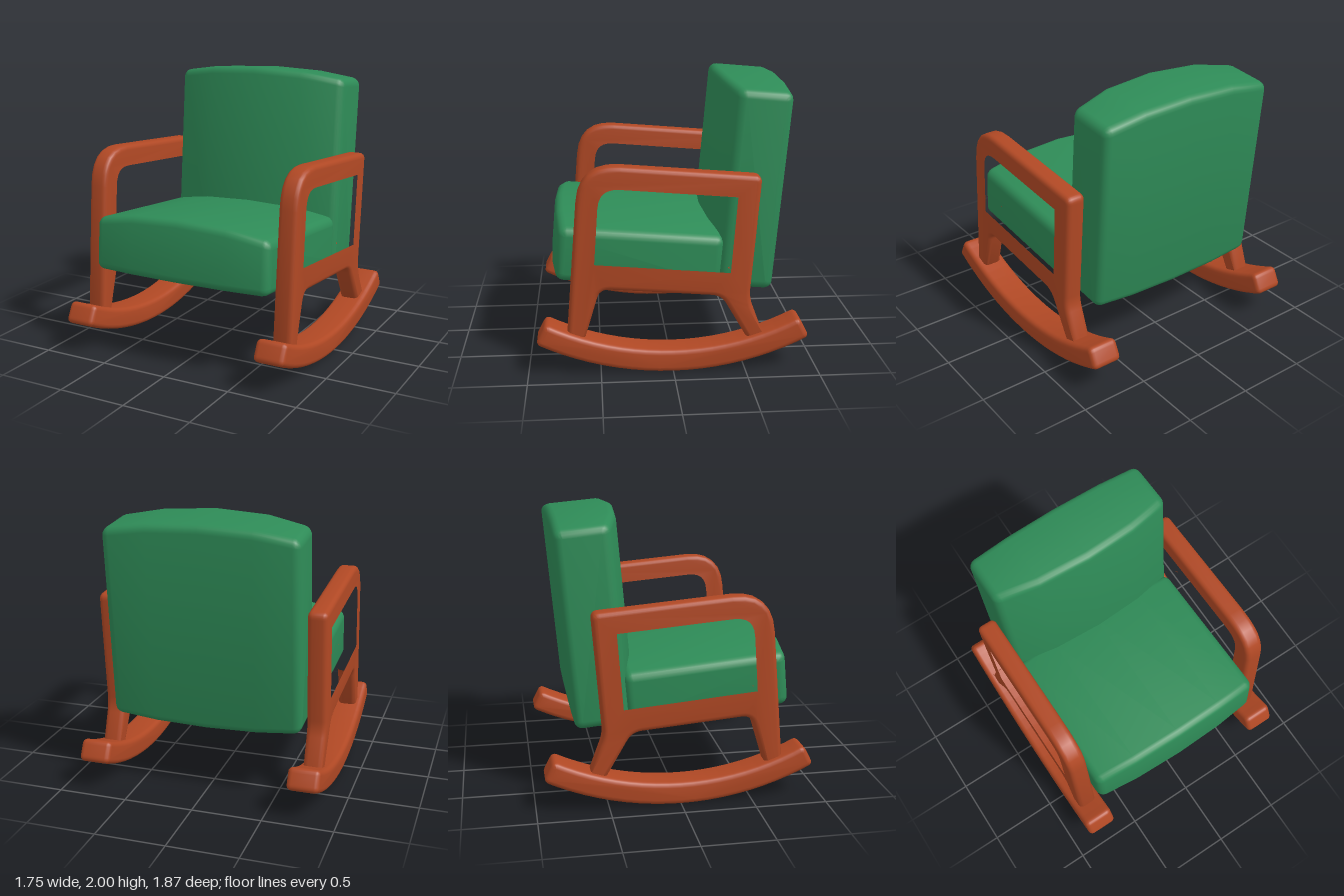
import * as THREE from 'three';
import { toCreasedNormals } from 'three/addons/utils/BufferGeometryUtils.js';

const TILT = -5 * Math.PI / 180;

// Traces corners [z, y, radius] as a closed path with rounded corners.
function roundedPath(path, corners) {
  const n = corners.length;
  const pts = corners.map(([z, y]) => new THREE.Vector2(-z, y));
  for (let i = 0; i < n; i++) {
    const p = pts[i], r = corners[i][2];
    const a = pts[(i + n - 1) % n].clone().sub(p).setLength(r).add(p);
    const b = pts[(i + 1) % n].clone().sub(p).setLength(r).add(p);
    if (i === 0) path.moveTo(a.x, a.y); else path.lineTo(a.x, a.y);
    path.quadraticCurveTo(p.x, p.y, b.x, b.y);
  }
  path.closePath();
  return path;
}

// Side profile extruded across x with softened edges, centred on x = 0.
function sidePanel(shape, width, bevel) {
  const geo = new THREE.ExtrudeGeometry(shape, {
    depth: width - 2 * bevel, curveSegments: 6,
    bevelThickness: bevel, bevelSize: bevel, bevelOffset: -bevel, bevelSegments: 4,
  });
  geo.translate(0, 0, -width / 2 + bevel);
  geo.rotateY(Math.PI / 2);
  return toCreasedNormals(geo, 0.6);
}

// Cushion lofted across x from rounded rectangles; bow shrinks each side towards the ends.
function cushion({ z0, z1, y0, y1, bow }) {
  const half = 0.69, r = 0.055, seg = 4;
  const stations = [];
  for (let i = 0; i <= seg; i++) {
    const a = i / seg * Math.PI / 2;
    stations.push([-half + r * (1 - Math.sin(a)), r * (1 - Math.cos(a))]);
  }
  stations.reverse();
  stations.sort((a, b) => a[0] - b[0]);
  const right = stations.map(([x, inset]) => [-x, inset]).reverse();
  const all = [...stations, [-0.37, 0], [0, 0], [0.37, 0], ...right];
  // End sections are inset most at the outermost station.
  for (const s of all) {
    const d = Math.max(0, Math.abs(s[0]) - (half - r));
    s[1] = r - Math.sqrt(Math.max(0, r * r - d * d));
  }
  const drop = x => {
    const t = Math.abs(x);
    return t < 0.37 ? 0.25 * t / 0.37 : 0.25 + 0.75 * (t - 0.37) / (half - 0.37);
  };
  const pos = [], idx = [], ring = 4 * (seg + 1);
  for (const [x, inset] of all) {
    const k = drop(x), cr = r - inset * 0.9;
    const zb = z0 + inset, zf = z1 - bow.front * k - inset;
    const yb = y0 + bow.bottom * k + inset, yt = y1 - bow.top * k - inset;
    const centres = [[zf - cr, yt - cr], [zb + cr, yt - cr], [zb + cr, yb + cr], [zf - cr, yb + cr]];
    centres.forEach(([cz, cy], q) => {
      for (let j = 0; j <= seg; j++) {
        const a = (q + j / seg) * Math.PI / 2;
        pos.push(x, cy + cr * Math.sin(a), cz + cr * Math.cos(a));
      }
    });
  }
  for (let s = 0; s < all.length - 1; s++) {
    for (let j = 0; j < ring; j++) {
      const a = s * ring + j, b = s * ring + (j + 1) % ring;
      idx.push(a, a + ring, b, b, a + ring, b + ring);
    }
  }
  const last = (all.length - 1) * ring;
  for (let j = 1; j < ring - 1; j++) {
    idx.push(0, j, j + 1, last, last + j + 1, last + j);
  }
  // Make every face point outwards.
  const geo = new THREE.BufferGeometry();
  geo.setAttribute('position', new THREE.Float32BufferAttribute(pos, 3));
  const v = i => new THREE.Vector3(pos[3 * i], pos[3 * i + 1], pos[3 * i + 2]);
  const mid = new THREE.Vector3(0, (y0 + y1) / 2, (z0 + z1) / 2);
  for (let i = 0; i < idx.length; i += 3) {
    const a = v(idx[i]), b = v(idx[i + 1]), c = v(idx[i + 2]);
    const normal = b.sub(a).cross(c.sub(a));
    if (normal.dot(a.sub(mid)) < 0) [idx[i + 1], idx[i + 2]] = [idx[i + 2], idx[i + 1]];
  }
  geo.setIndex(idx);
  return toCreasedNormals(geo, 0.6);
}

export function createModel() {
  const fabric = new THREE.MeshStandardMaterial({ color: 0x2e8b57 });
  fabric.name = 'green fabric';
  const wood = new THREE.MeshStandardMaterial({ color: 0xb04824 });
  wood.name = 'red-brown wood';

  const model = new THREE.Group();
  model.name = 'rockingChair';
  const add = (name, geo, mat, x = 0) => {
    const mesh = new THREE.Mesh(geo, mat);
    mesh.name = name;
    mesh.position.x = x;
    model.add(mesh);
    return mesh;
  };

  // Cushions, leaning back together
  add('seatCushion', cushion({
    z0: -0.29, z1: 0.9, y0: 0.55, y1: 1.0, bow: { top: 0.07, front: 0.045, bottom: 0 },
  }), fabric).rotation.x = TILT;
  add('backCushion', cushion({
    z0: -0.66, z1: -0.175, y0: 0.535, y1: 2.025, bow: { top: 0.06, front: 0.11, bottom: 0.045 },
  }), fabric).rotation.x = TILT;

  // Arm frame: legs, arm and rail in one outline with an opening
  const frame = roundedPath(new THREE.Shape(), [
    [0.735, 0.2, 0.01], [0.63, 1.475, 0.28], [-0.6, 1.372, 0.05], [-0.53, 0.51, 0.06],
    [-0.645, 0.2, 0.01], [-0.525, 0.2, 0.01], [-0.335, 0.53, 0.07], [0.5, 0.6, 0.07], [0.62, 0.2, 0.01],
  ]);
  frame.holes.push(roundedPath(new THREE.Path(), [
    [0.573, 0.75, 0.035], [0.53, 1.35, 0.18], [-0.472, 1.265, 0.025], [-0.425, 0.662, 0.025],
  ]));
  const frameGeo = sidePanel(frame, 0.14, 0.035);

  // Rocker: a slice of a ring
  const R = 2.07, thick = 0.16, end = 0.475, steps = 20, corners = [];
  for (const [radius, dir] of [[R, 1], [R - thick, -1]]) {
    for (let i = 0; i <= steps; i++) {
      const a = dir * end * (2 * i / steps - 1);
      const atEnd = i === 0 || i === steps;
      corners.push([radius * Math.sin(a), R - radius * Math.cos(a), atEnd ? 0.04 : 0.01]);
    }
  }
  const rockerGeo = sidePanel(roundedPath(new THREE.Shape(), corners), 0.226, 0.035);

  for (const [side, s] of [['left', 1], ['right', -1]]) {
    add(side + 'ArmFrame', frameGeo, wood, s * 0.76);
    add(side + 'Rocker', rockerGeo, wood, s * 0.761);
  }
  return model;
}
